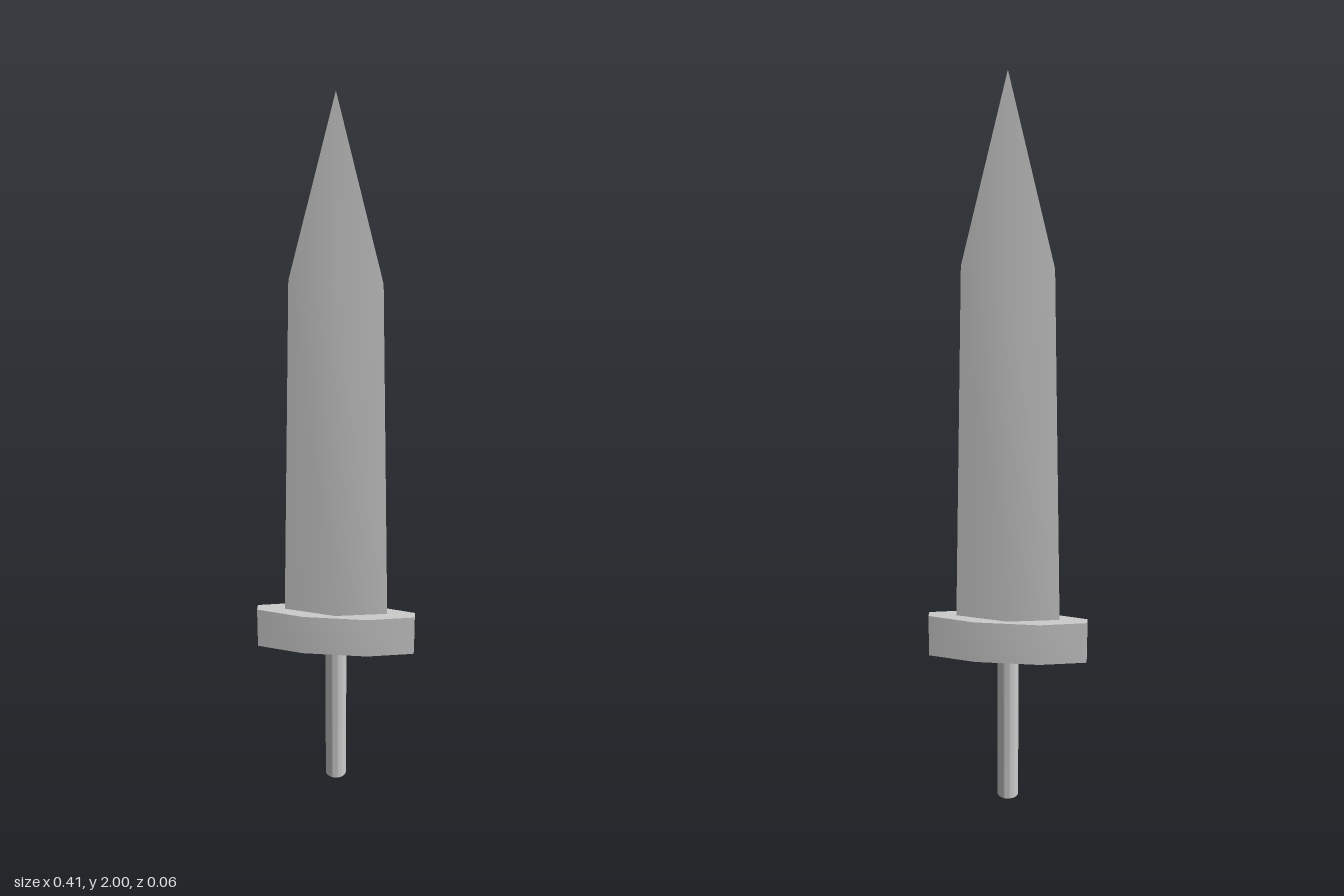
import * as THREE from 'three';
import { toCreasedNormals } from 'three/addons/utils/BufferGeometryUtils.js';

const material = new THREE.MeshStandardMaterial({ color: 0xcccccc });

function part(name, geometry) {
  // Shallow facets blend smoothly; cutting edges and rims stay sharp
  const mesh = new THREE.Mesh(toCreasedNormals(geometry, 0.5), material);
  mesh.name = name;
  return mesh;
}

export function createModel() {
  const sword = new THREE.Group();
  sword.name = 'sword';

  // Blade: four-sided profile flattened to a thin diamond section
  const profile = [[0, 0.54], [0.135, 0.54], [0.113, 1.52], [0, 2]]
    .map(([x, y]) => new THREE.Vector2(x, y));
  const blade = new THREE.LatheGeometry(profile, 4);
  blade.scale(1, 1, 0.155);
  sword.add(part('blade', blade));

  // Guard: bar with tapered ends, extruded upward
  const outline = [
    [-0.207, -0.01], [-0.085, -0.032], [0.085, -0.032], [0.207, -0.01],
    [0.207, 0.01], [0.085, 0.032], [-0.085, 0.032], [-0.207, 0.01],
  ].map(([x, y]) => new THREE.Vector2(x, y));
  const guard = new THREE.ExtrudeGeometry(new THREE.Shape(outline), { depth: 0.12, bevelEnabled: false });
  guard.rotateX(-Math.PI / 2).translate(0, 0.432, 0);
  sword.add(part('guard', guard));

  // Grip: plain round rod
  const grip = new THREE.CylinderGeometry(0.028, 0.028, 0.44, 32);
  grip.translate(0, 0.22, 0);
  sword.add(part('grip', grip));

  return sword;
}
